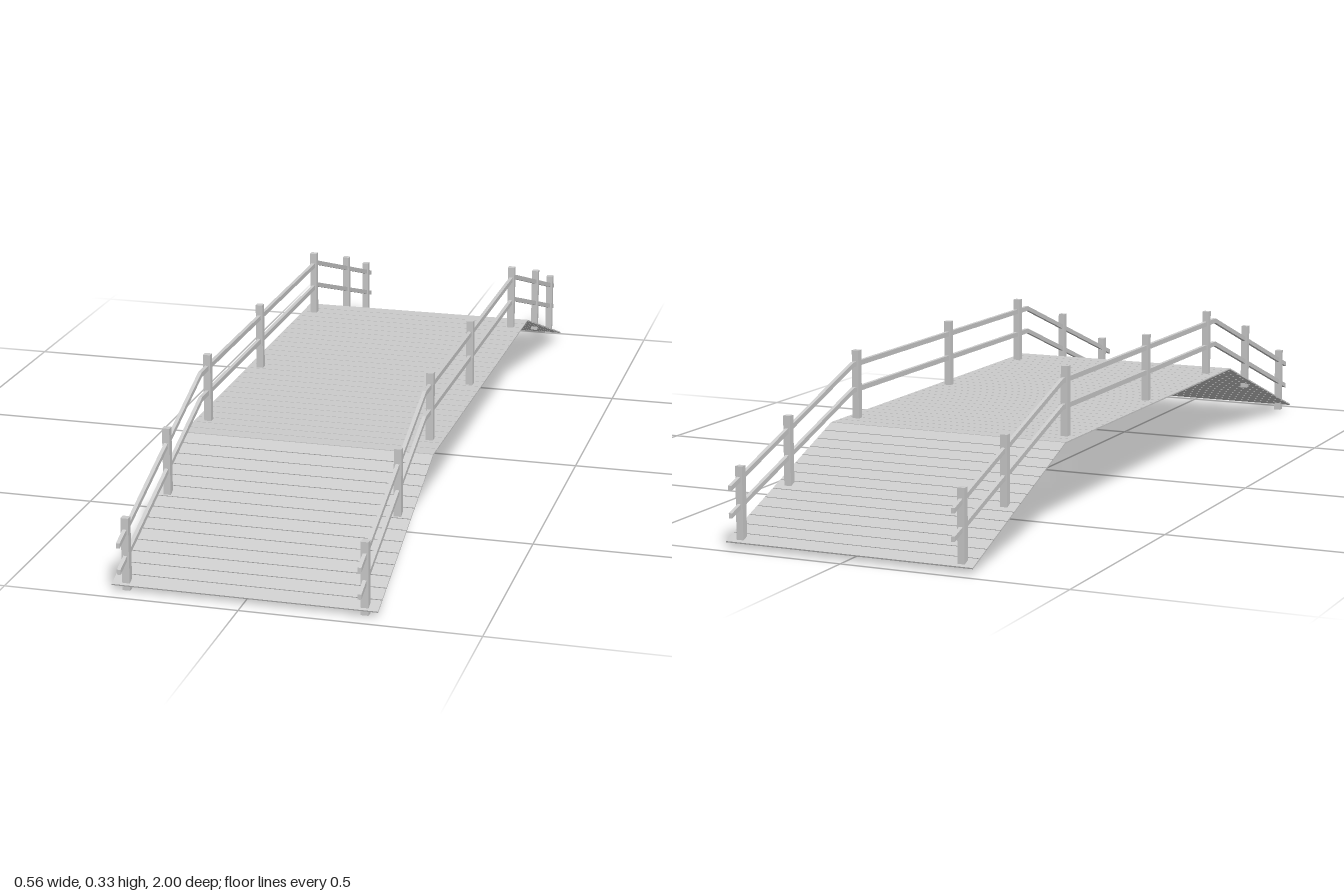
import * as THREE from 'three';

const material = new THREE.MeshStandardMaterial({ color: 0xcccccc, flatShading: true });

function addBox(parent, name, w, h, d, x, y, z, tilt = 0) {
  const mesh = new THREE.Mesh(new THREE.BoxGeometry(w, h, d), material);
  mesh.name = name;
  mesh.position.set(x, y, z);
  mesh.rotation.x = tilt;
  parent.add(mesh);
}

// Planks laid side by side between two points [z, y] of the walkway
function deckSection(name, [z0, y0], [z1, y1], count) {
  const group = new THREE.Group();
  group.name = name;
  const pitch = Math.hypot(z1 - z0, y1 - y0) / count;
  const tilt = Math.atan2(y1 - y0, z0 - z1);
  for (let i = 0; i < count; i++) {
    const t = (i + 0.5) / count;
    addBox(group, 'plank', 0.56, 0.003, pitch - 0.002,
      0, y0 + (y1 - y0) * t, z0 + (z1 - z0) * t, tilt);
  }
  return group;
}

// Mitred handrail following the bridge, drawn in the side plane and extruded sideways
function railGeometry(drop) {
  const path = [[-1, 0.113], [-0.46, 0.304], [0.47, 0.304], [1, 0.132]];
  const half = 0.0055, width = 0.008;
  const bottom = path.map(([s, y]) => new THREE.Vector2(s, y - drop - half));
  const top = path.map(([s, y]) => new THREE.Vector2(s, y - drop + half)).reverse();
  const geometry = new THREE.ExtrudeGeometry(new THREE.Shape([...bottom, ...top]),
    { depth: width, bevelEnabled: false });
  geometry.translate(0, 0, -width / 2);
  geometry.rotateY(Math.PI / 2); // shape x becomes -z
  return geometry;
}

export function createModel() {
  const bridge = new THREE.Group();
  bridge.name = 'footbridge';

  // Walkway: ramp, level span, ramp
  const points = [[0.966, 0.012], [0.497, 0.1805], [-0.516, 0.1805], [-0.973, 0.012]];
  bridge.add(deckSection('frontRamp', points[0], points[1], 14));
  bridge.add(deckSection('levelDeck', points[1], points[2], 28));
  bridge.add(deckSection('backRamp', points[2], points[3], 14));

  // Posts as [z, bottom y]
  const posts = [[0.952, 0], [0.687, 0.102], [0.406, 0.177], [0.013, 0.177],
    [-0.449, 0.177], [-0.757, 0.084], [-0.957, 0.014]];
  const postHeight = 0.157;

  for (const side of [-1, 1]) {
    const railing = new THREE.Group();
    railing.name = side > 0 ? 'leftRailing' : 'rightRailing';
    for (const [z, y] of posts) {
      addBox(railing, 'post', 0.016, postHeight, 0.015, side * 0.251, y + postHeight / 2, z);
    }
    for (const [name, drop] of [['upperRail', 0], ['lowerRail', 0.057]]) {
      const rail = new THREE.Mesh(railGeometry(drop), material);
      rail.name = name;
      rail.position.x = side * 0.251;
      railing.add(rail);
    }
    bridge.add(railing);
  }
  return bridge;
}
